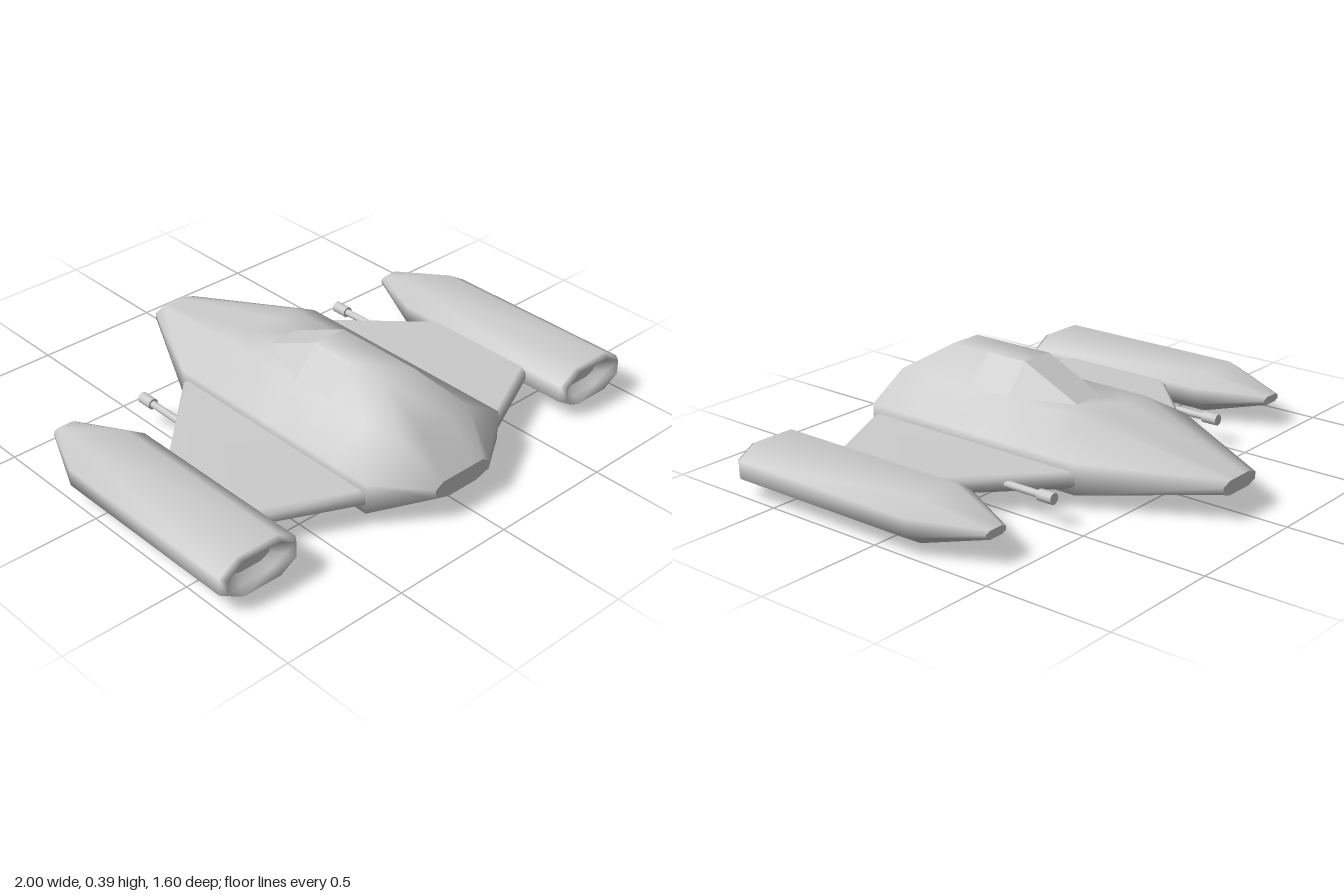
import * as THREE from 'three';

const material = () => new THREE.MeshStandardMaterial({ color: 0xcccccc, roughness: 0.8 });

// Right-hand half section [x, y, z] from bottom to top -> full closed ring
const mirrorRing = (half) => [...half, ...half.slice().reverse().map(([x, y, z]) => [-x, y, z])];

// Skin a list of equal rings (ordered from +z to -z) with smooth sides and flat end caps
function loft(rings) {
  const n = rings[0].length, pos = rings.flat(2), index = [];
  for (let i = 0; i < rings.length - 1; i++) {
    for (let j = 0; j < n; j++) {
      const k = (j + 1) % n;
      const a = i * n + j, b = i * n + k, c = a + n, d = b + n;
      if (j < n / 2) index.push(a, c, d, a, d, b);
      else index.push(a, c, b, b, c, d);
    }
  }
  [rings[0], rings[rings.length - 1]].forEach((ring, end) => {
    const base = pos.length / 3;
    const centre = [0, 1, 2].map((q) => ring.reduce((s, p) => s + p[q], 0) / n);
    pos.push(...ring.flat(), ...centre);
    for (let j = 0; j < n; j++) {
      const k = (j + 1) % n;
      index.push(base + n, base + (end ? k : j), base + (end ? j : k));
    }
  });
  const g = new THREE.BufferGeometry();
  g.setAttribute('position', new THREE.Float32BufferAttribute(pos, 3));
  g.setIndex(index);
  g.computeVertexNormals();
  return g;
}

function add(parent, name, geometry) {
  const mesh = new THREE.Mesh(geometry, material());
  mesh.name = name;
  parent.add(mesh);
  return mesh;
}

// Hull: keel, lower side, upper side, shoulder, canopy ridge
function hullGeometry() {
  const mid = (z, ridgeY, sideZ = z) => [
    [0.17, 0, z], [0.335, 0.05, sideZ], [0.335, 0.17, sideZ], [0.17, 0.27, z], [0.07, ridgeY, z],
  ];
  const nose = [[0.07, 0.07, 0.8], [0.135, 0.09, 0.8], [0.135, 0.125, 0.8], [0.1, 0.145, 0.8], [0.05, 0.145, 0.8]];
  const tail = [[0.06, 0.085, -0.8], [0.1, 0.1, -0.8], [0.1, 0.125, -0.8], [0.06, 0.14, -0.8], [0.03, 0.14, -0.8]];
  return loft([
    nose, mid(0.66, 0.27), mid(0.48, 0.385), mid(0.3, 0.385), mid(0.12, 0.385),
    mid(-0.13, 0.27), mid(-0.26, 0.27, -0.33), tail,
  ].map(mirrorRing));
}

// Flat canopy panes lying just proud of the hull
function paneGeometry(corners) {
  const tris = [];
  for (let i = 1; i < corners.length - 1; i++) tris.push(...corners[0], ...corners[i], ...corners[i + 1]);
  const g = new THREE.BufferGeometry();
  g.setAttribute('position', new THREE.Float32BufferAttribute(tris, 3));
  g.computeVertexNormals();
  const p = g.attributes.position, nrm = g.attributes.normal;
  for (let i = 0; i < p.array.length; i++) p.array[i] += nrm.array[i] * 0.002;
  return g;
}

// Engine pod with a recessed inlet at the front and a tapered tail
function podGeometry() {
  const section = (z, w, h, tw = w * 0.53, sh = h * 0.42) => mirrorRing([
    [tw, 0.102 - h, z], [w, 0.102 - sh, z], [w, 0.102 + sh, z], [tw, 0.102 + h, z],
  ]);
  return loft([
    section(0.63, 0.085, 0.03), section(0.66, 0.125, 0.055), section(0.695, 0.148, 0.07),
    section(0.67, 0.165, 0.082), section(-0.14, 0.165, 0.082), section(-0.4, 0.05, 0.016, 0.03),
  ]);
}

// Wing: tapered slab with bevelled edges, lofted along the span
function wingGeometry(side) {
  const section = (x, z0, z1) => {
    const c = -side * (z0 + z1) / 2, h = (z1 - z0) / 2;
    return mirrorRing([
      [h - 0.025, 0.07, x], [h, 0.088, x], [h, 0.118, x], [h - 0.025, 0.136, x],
    ]).map(([px, y, z]) => [px + c, y, z]);
  };
  return loft([section(0.69, 0.02, 0.49), section(0.67, 0, 0.5), section(0.33, -0.335, 0.66)])
    .rotateY(side * Math.PI / 2);
}

export function createModel() {
  const model = new THREE.Group();
  model.name = 'spacecraft';
  add(model, 'hull', hullGeometry());

  // Canopy
  const canopy = new THREE.Group();
  canopy.name = 'canopy';
  model.add(canopy);
  add(canopy, 'rearWindow', paneGeometry([
    [0.07, 0.385, 0.12], [0.07, 0.27, -0.13], [-0.07, 0.27, -0.13], [-0.07, 0.385, 0.12],
  ]));
  for (const side of [1, -1]) {
    const tag = side > 0 ? 'left' : 'right';
    const pane = (pts) => {
      const m = pts.map(([x, y, z]) => [x * side, y, z]);
      return paneGeometry(side > 0 ? m : m.reverse());
    };
    add(canopy, tag + 'SideWindow', pane([
      [0.17, 0.27, 0.3], [0.17, 0.27, 0.12], [0.07, 0.385, 0.12], [0.07, 0.385, 0.3],
    ]));
    add(canopy, tag + 'QuarterWindow', pane([
      [0.17, 0.27, 0.12], [0.07, 0.27, -0.13], [0.07, 0.385, 0.12],
    ]));

    // Wing and engine pod
    add(model, tag + 'Wing', wingGeometry(side));
    add(model, tag + 'EnginePod', podGeometry()).position.x = side * 0.835;

    // Rear-facing gun on the wing edge
    const gun = new THREE.Group();
    gun.name = tag + 'Gun';
    gun.position.set(side * 0.5, 0.103, 0);
    model.add(gun);
    add(gun, 'barrel', new THREE.CylinderGeometry(0.014, 0.014, 0.22, 12).rotateX(Math.PI / 2)).position.z = -0.21;
    add(gun, 'muzzle', new THREE.CylinderGeometry(0.022, 0.022, 0.065, 12).rotateX(Math.PI / 2)).position.z = -0.34;
  }
  return model;
}
